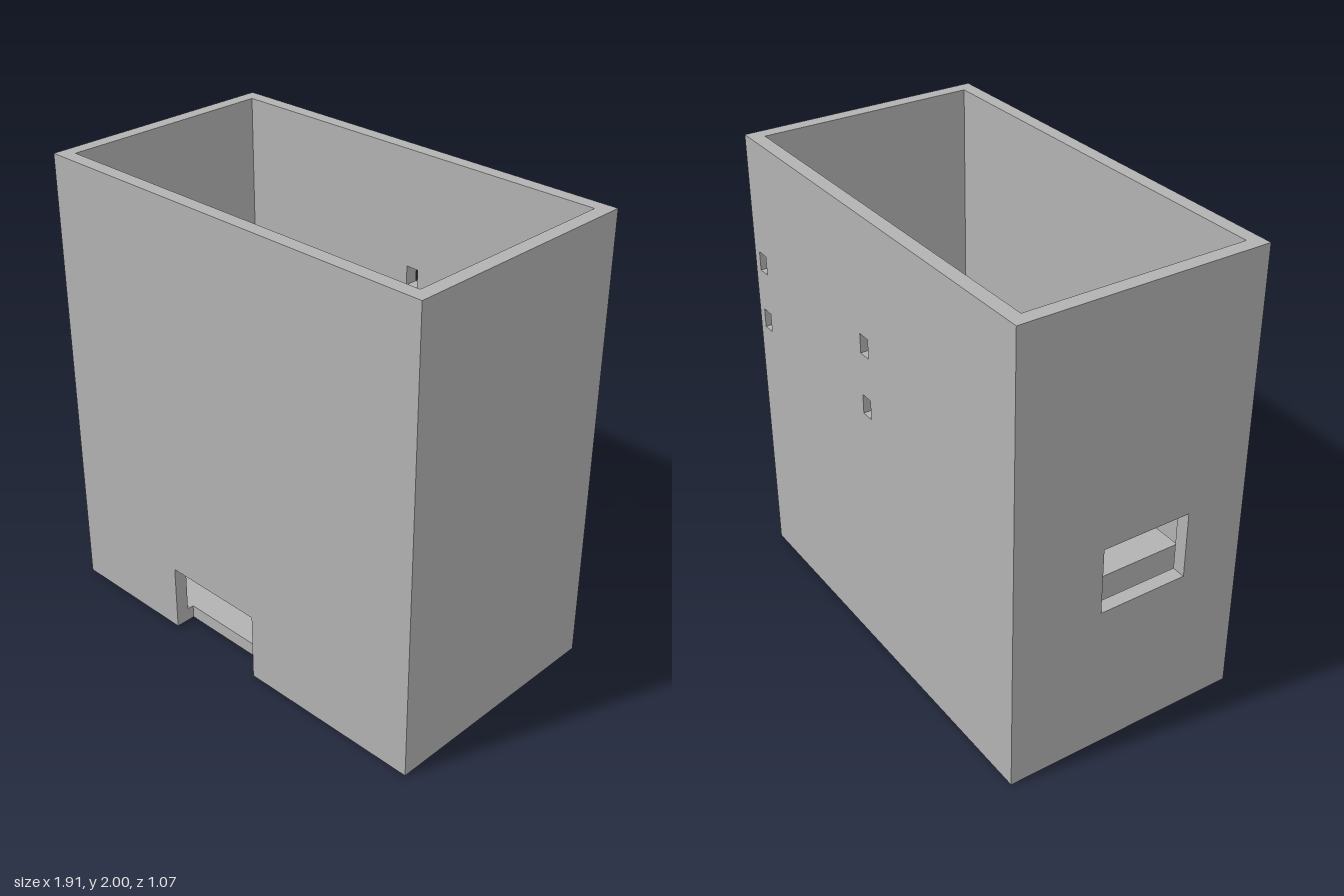
import * as THREE from 'three';

const W = 0.955, D = 0.535, H = 2, T = 0.06; // half width, half depth, height, wall

function polygon(points) {
  return new THREE.Shape(points.map(([x, y]) => new THREE.Vector2(x, y)));
}

function rect(x0, y0, x1, y1) {
  return polygon([[x0, y0], [x1, y0], [x1, y1], [x0, y1]]);
}

export function createModel() {
  const group = new THREE.Group();
  const grey = new THREE.MeshStandardMaterial({ color: 0xb2b2b2 });
  grey.name = 'plain grey';

  const add = (name, geometry) => {
    const mesh = new THREE.Mesh(geometry, grey);
    mesh.name = name;
    group.add(mesh);
    return mesh;
  };
  const panel = (name, shape) =>
    add(name, new THREE.ExtrudeGeometry(shape, { depth: T, bevelEnabled: false, curveSegments: 16 }));

  // Front wall with an opening at the bottom edge
  const x0 = -0.36, x1 = 0.115, openTop = 0.3;
  panel('frontWall', polygon([
    [-W, 0], [x0, 0], [x0, openTop], [x1, openTop], [x1, 0], [W, 0], [W, H], [-W, H],
  ])).position.z = D - T;

  // Back wall with four small slots
  const back = rect(-W, 0, W, H);
  for (const x of [0.015, 0.857])
    for (const y of [1.142, 1.412]) back.holes.push(rect(x, y, x + 0.058, y + 0.085));
  panel('backWall', back).position.z = -D;

  // Side walls, the one at -x with a window
  for (const side of [1, -1]) {
    const shape = rect(-D + T, 0, D - T, H);
    if (side < 0) shape.holes.push(rect(-0.135, 0.66, 0.262, 0.955));
    const wall = panel(side > 0 ? 'leftWall' : 'rightWall', shape);
    wall.rotation.y = -Math.PI / 2;
    wall.position.x = side > 0 ? W : -W + T;
  }

  // Floor, notched behind the front opening, with two round holes
  const fx = W - T, fz = D - T, notch = 0.445;
  const floor = polygon([
    [-fx, -fz], [x0, -fz], [x0, -notch], [x1, -notch], [x1, -fz], [fx, -fz], [fx, fz], [-fx, fz],
  ]);
  for (const side of [1, -1])
    floor.holes.push(new THREE.Path().absarc(side * 0.78, 0, 0.045, 0, Math.PI * 2, true));
  panel('floor', floor).rotation.x = -Math.PI / 2;

  // Inner support blocks standing on the floor
  const blockTop = 0.68;
  for (const side of [1, -1])
    add(side > 0 ? 'leftBlock' : 'rightBlock', new THREE.BoxGeometry(0.175, blockTop - T, 0.595))
      .position.set(side * 0.716, (blockTop + T) / 2, 0.057);

  return group;
}
